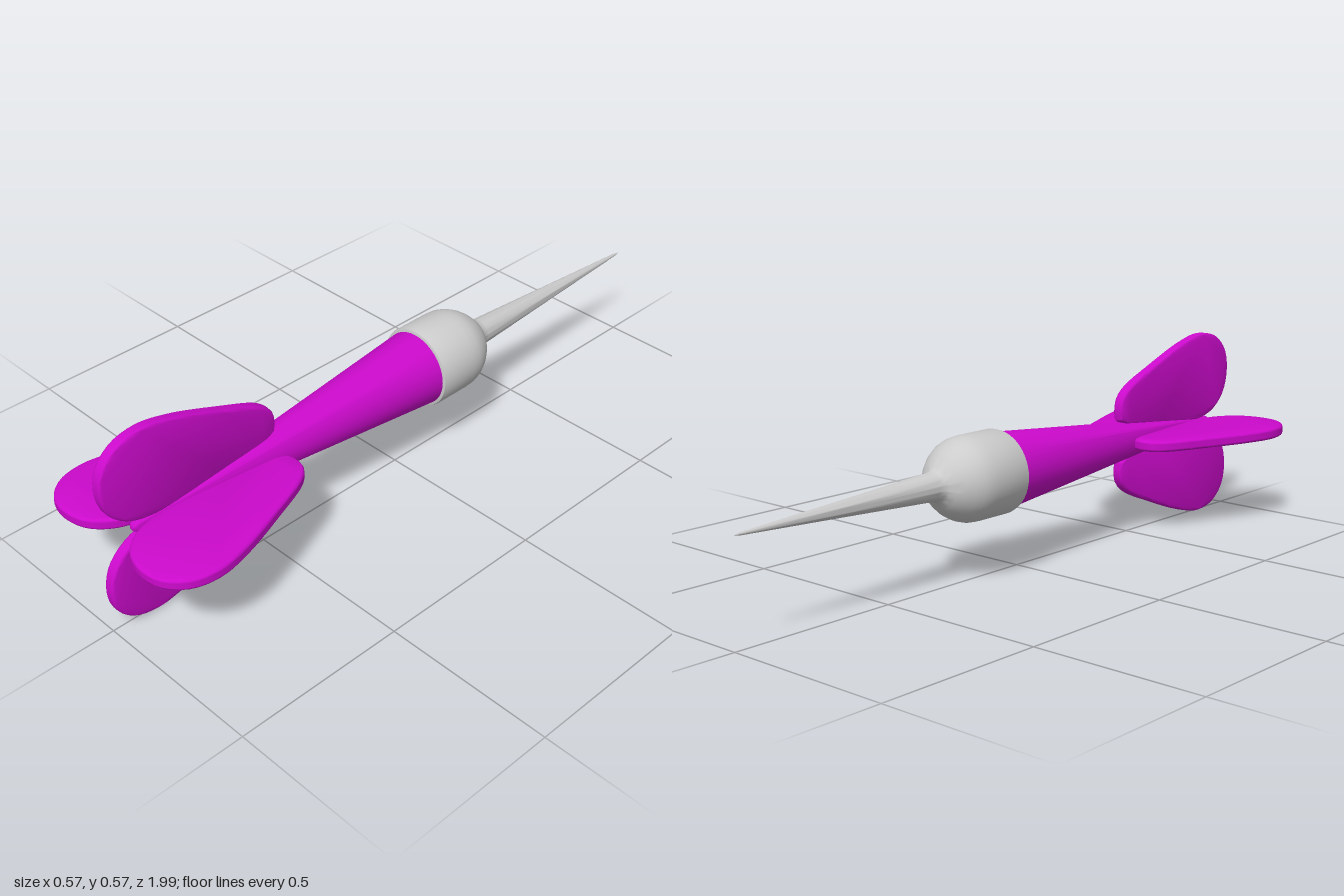
import * as THREE from 'three';
import { toCreasedNormals } from 'three/addons/utils/BufferGeometryUtils.js';

const AXIS_HEIGHT = 0.286;
const vec2 = ([x, y]) => new THREE.Vector2(x, y);

// Solid of revolution about z from [radius, z] pairs, ordered towards +z
function turned(name, profile, material) {
  const lathe = new THREE.LatheGeometry(profile.map(vec2), 48).rotateX(Math.PI / 2);
  const mesh = new THREE.Mesh(toCreasedNormals(lathe, 0.7), material);
  mesh.name = name;
  return mesh;
}

// Rounded leaf-shaped blade reaching out along +x
function finGeometry() {
  const bevel = 0.009;
  const thickness = 0.033;
  const outline = [
    [0.085, 0.449], [0.125, 0.455], [0.157, 0.485], [0.215, 0.62],
    [0.268, 0.77], [0.284, 0.86], [0.268, 0.935], [0.22, 0.985], [0.155, 0.999],
    [0.085, 0.98], [0.035, 0.925], [0.015, 0.85], [0.018, 0.75],
    [0.034, 0.6], [0.05, 0.48], [0.062, 0.455],
  ].map(vec2);
  const curve = new THREE.CatmullRomCurve3(
    outline.map((p) => new THREE.Vector3(p.x, p.y, 0)), true);
  const shape = new THREE.Shape(curve.getSpacedPoints(64).slice(0, -1).map((p) => new THREE.Vector2(p.x, p.y)));
  const geometry = new THREE.ExtrudeGeometry(shape, {
    depth: thickness - 2 * bevel,
    bevelThickness: bevel,
    bevelSize: bevel,
    bevelOffset: -bevel,
    bevelSegments: 4,
  });
  geometry.translate(0, 0, bevel - thickness / 2).rotateX(Math.PI / 2);
  return toCreasedNormals(geometry, 0.6);
}

export function createModel() {
  const model = new THREE.Group();
  model.name = 'dart';
  const grey = new THREE.MeshStandardMaterial({ color: 0xcccccc });
  const purple = new THREE.MeshStandardMaterial({ color: 0xcc0acc });

  const assembly = new THREE.Group();
  assembly.name = 'dartAssembly';
  assembly.position.y = AXIS_HEIGHT;
  model.add(assembly);

  // Needle flowing into the rounded metal head
  assembly.add(turned('needleAndHead', [
    [0, -0.99], [0.004, -0.97], [0.021, -0.66], [0.039, -0.345], [0.042, -0.326],
    [0.05, -0.317], [0.066, -0.306], [0.083, -0.289], [0.099, -0.268],
    [0.111, -0.245], [0.117, -0.225], [0.119, -0.2],
    [0.119, -0.088], [0.117, -0.081], [0.111, -0.079], [0, -0.079],
  ], grey));

  // Tapered barrel with a small rounded tail
  assembly.add(turned('barrel', [
    [0, -0.1], [0.109, -0.1], [0.109, -0.079], [0.016, 0.89],
    [0.015, 0.9], [0.011, 0.908], [0.005, 0.912], [0, 0.913],
  ], purple));

  // Four fins at right angles
  const blade = finGeometry();
  ['leftFin', 'topFin', 'rightFin', 'bottomFin'].forEach((name, i) => {
    const fin = new THREE.Mesh(blade, purple);
    fin.name = name;
    fin.rotation.z = (i * Math.PI) / 2;
    assembly.add(fin);
  });

  return model;
}
